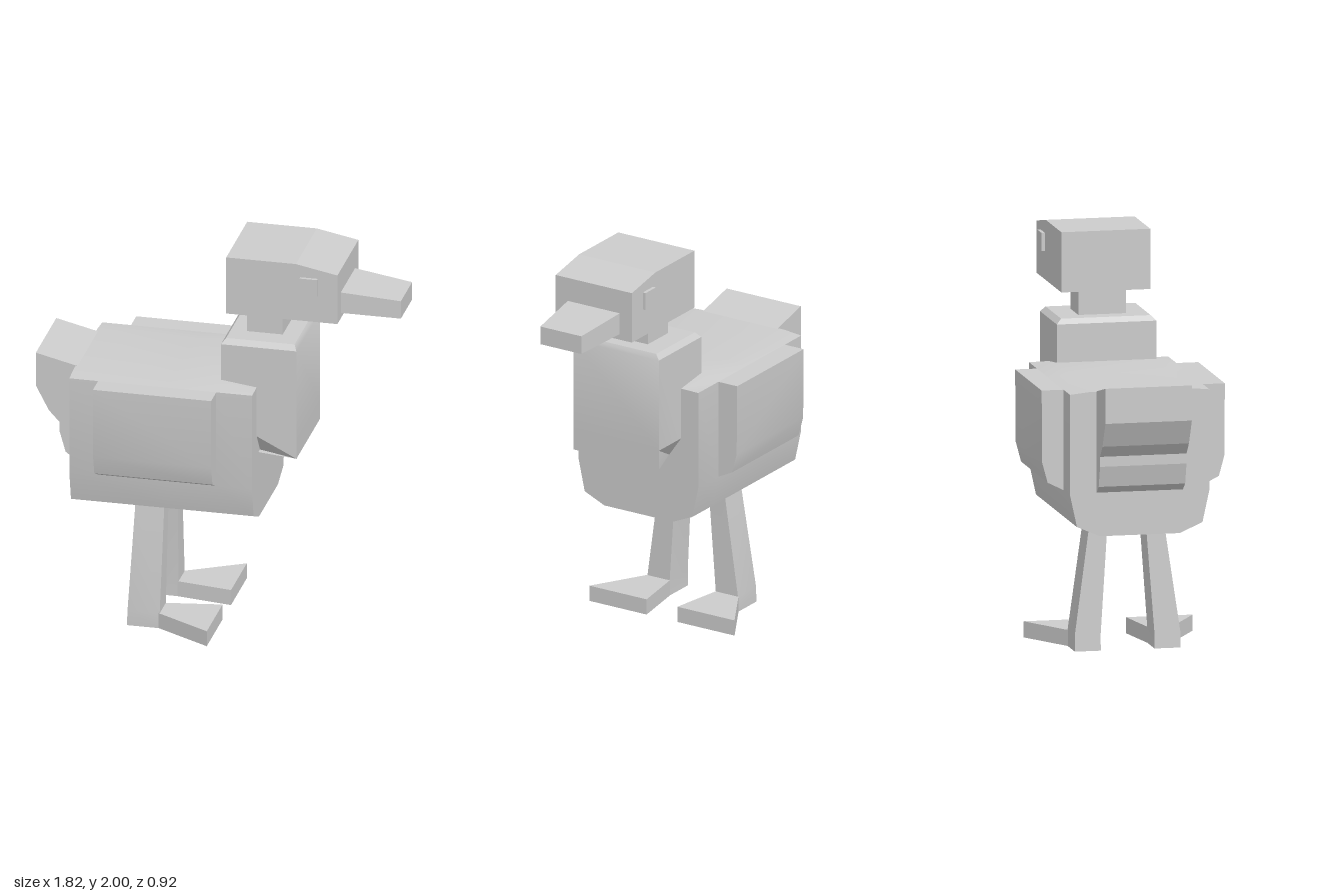
import * as THREE from 'three';
import { toCreasedNormals } from 'three/addons/utils/BufferGeometryUtils.js';

// Skins a row of equal-sized cross-sections and caps both ends, faces outward.
function loft(sections) {
  const n = sections[0].length;
  const pos = sections.flat(2);
  const index = [];
  for (let s = 0; s < sections.length - 1; s++) {
    for (let i = 0; i < n; i++) {
      const j = (i + 1) % n, a = s * n, b = a + n;
      index.push(a + i, a + j, b + j, a + i, b + j, b + i);
    }
  }
  const last = (sections.length - 1) * n;
  for (let i = 1; i < n - 1; i++) {
    index.push(0, i + 1, i, last, last + i, last + i + 1);
  }
  // Turn the faces around if the enclosed volume comes out negative
  const v = (i) => new THREE.Vector3().fromArray(pos, i * 3);
  let volume = 0;
  for (let i = 0; i < index.length; i += 3) {
    volume += v(index[i]).dot(v(index[i + 1]).cross(v(index[i + 2])));
  }
  if (volume < 0) index.reverse();
  const g = new THREE.BufferGeometry();
  g.setAttribute('position', new THREE.Float32BufferAttribute(pos, 3));
  g.setIndex(index);
  g.computeVertexNormals();
  return toCreasedNormals(g, 0.55);
}

// Horizontal rectangle at height y
const rectY = (y, x0, x1, z0, z1) => [[x0, y, z0], [x1, y, z0], [x1, y, z1], [x0, y, z1]];
// Upright rectangle at position x
const rectX = (x, y0, y1, z0, z1) => [[x, y0, z0], [x, y1, z0], [x, y1, z1], [x, y0, z1]];

// Side outline (x, y) extruded to the given half width in z
function slab(points, half) {
  const shape = new THREE.Shape(points.map(([x, y]) => new THREE.Vector2(x, y)));
  const g = new THREE.ExtrudeGeometry(shape, { depth: half * 2, bevelEnabled: false });
  return g.translate(0, 0, -half);
}

export function createModel() {
  const group = new THREE.Group();
  const material = new THREE.MeshStandardMaterial({ color: 0xcccccc });
  const add = (name, geometry) => {
    const mesh = new THREE.Mesh(geometry, material);
    mesh.name = name;
    group.add(mesh);
  };

  // Body: tapered belly and a back that swells slightly towards the neck
  const bodySection = ([x, top]) => {
    const side = [[0.25, top], [0.35, 1.33], [0.35, 0.83], [0.315, 0.67], [0.2, 0.62]];
    return [
      ...side.map(([z, y]) => [x, y, z]),
      ...side.slice().reverse().map(([z, y]) => [x, y, -z]),
    ];
  };
  add('body', loft([[-0.71, 1.34], [-0.22, 1.34], [0.03, 1.355], [0.21, 1.332]].map(bodySection)));

  // Breast block, with its lower rear corners drawn in and a bevelled top
  const breastSection = ([y, back, front, half, rearHalf]) => [
    [front, y, half], [0.21, y, rearHalf], [back, y, rearHalf],
    [back, y, -rearHalf], [0.21, y, -rearHalf], [front, y, -half],
  ];
  add('breast', loft([
    [0.97, 0.03, 0.41, 0.25, 0.18],
    [1.07, 0.03, 0.41, 0.25, 0.25],
    [1.545, 0.03, 0.41, 0.25, 0.25],
    [1.57, 0.05, 0.395, 0.225, 0.225],
  ].map(breastSection)));

  // Neck, head and beak
  add('neck', loft([rectY(1.55, 0.13, 0.31, -0.12, 0.12), rectY(1.72, 0.13, 0.31, -0.12, 0.12)]));
  add('head', slab([[0.05, 1.7], [0.61, 1.7], [0.61, 1.96], [0.4, 2], [0.05, 2]], 0.223));
  add('beak', loft([rectX(0.6, 1.73, 1.84, -0.153, 0.153), rectX(0.905, 1.715, 1.808, -0.12, 0.12)]));

  // Tail
  add('tail', slab([
    [-0.7, 1.34], [-0.91, 1.39], [-0.91, 1.215], [-0.845, 1.09], [-0.79, 1.03],
    [-0.79, 0.98], [-0.76, 0.875], [-0.7, 0.83],
  ], 0.217));

  // Paired parts
  for (const [side, s] of [['left', 1], ['right', -1]]) {
    const wing = [[0.3, 1.33], [0.46, 1.33], [0.457, 0.97], [0.43, 0.87], [0.35, 0.83], [0.3, 0.83]];
    add(side + 'Wing', loft([-0.565, 0.03].map((x) => wing.map(([z, y]) => [x, y, z * s]))));

    const eye = new THREE.BoxGeometry(0.09, 0.09, 0.04);
    add(side + 'Eye', eye.translate(0.467, 1.887, s * 0.22));

    add(side + 'Leg', loft([
      rectY(0, -0.44, -0.275, s * 0.135, s * 0.265),
      rectY(0.08, -0.437, -0.275, s * 0.135, s * 0.265),
      rectY(0.64, -0.415, -0.27, s * 0.095, s * 0.185),
    ]));
    add(side + 'Foot', loft([
      rectX(-0.28, 0, 0.08, s * 0.135, s * 0.265),
      rectX(0, 0, 0.08, s * 0.09, s * 0.425),
    ]));
  }
  return group;
}
